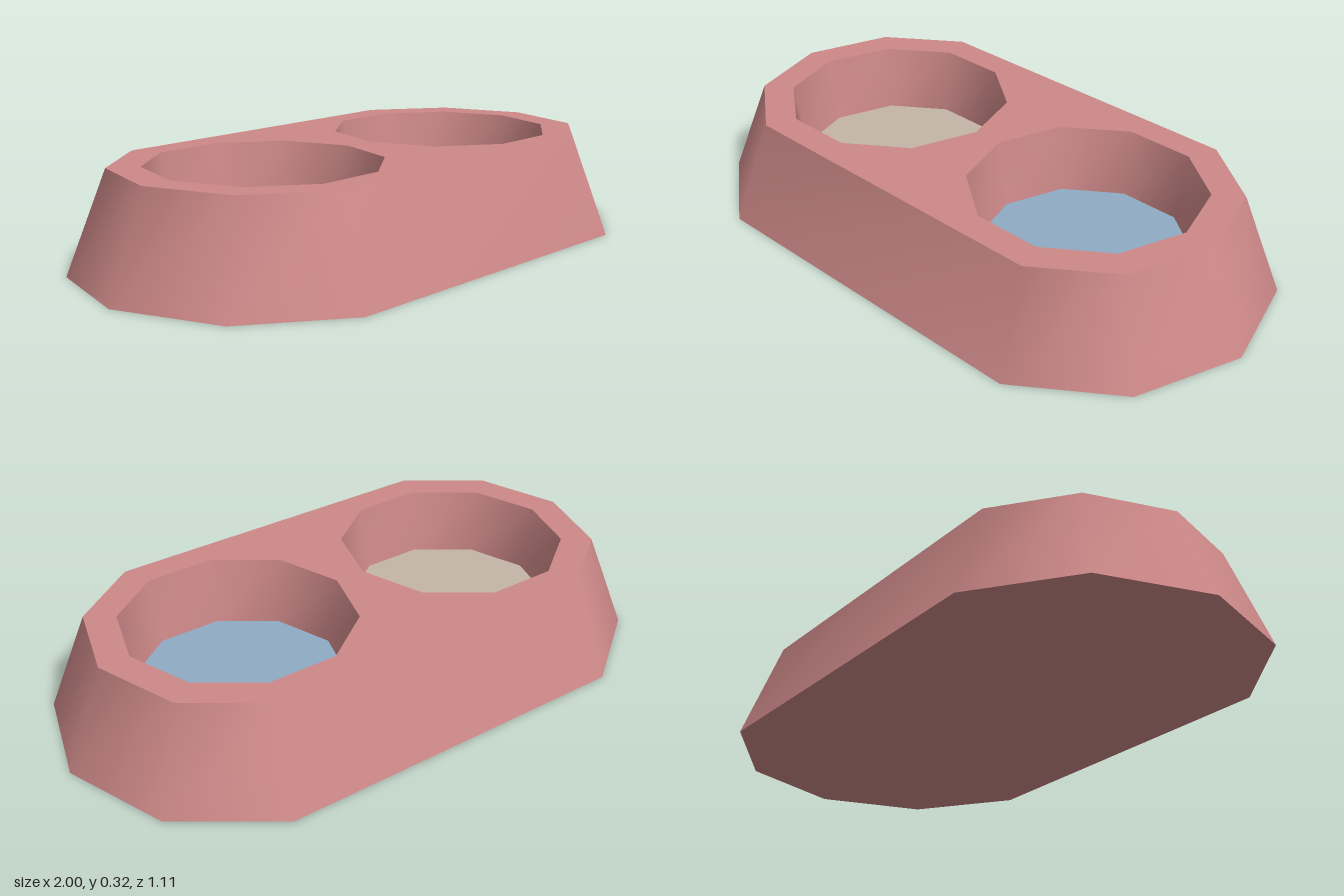
import * as THREE from 'three';

const HEIGHT = 0.317, FLOOR = 0.107, BOWL_X = 0.413;

// Mirror one quarter of the outline into a full ten-sided ring of [x, z]
function outline([ex, [mx, mz], [cx, cz]]) {
  return [[ex, 0], [mx, mz], [cx, cz], [-cx, cz], [-mx, mz],
    [-ex, 0], [-mx, -mz], [-cx, -cz], [cx, -cz], [mx, -mz]];
}

function decagon(x, r) {
  return Array.from({ length: 10 }, (_, i) => {
    const a = i * Math.PI / 5;
    return [x + r * Math.cos(a), r * Math.sin(a)];
  });
}

// Smooth wall between two rings; faces outward when y0 < y1, inward otherwise
function wall(ring0, y0, ring1, y1) {
  const pos = [], idx = [], n = ring0.length;
  for (const [x, z] of ring0) pos.push(x, y0, z);
  for (const [x, z] of ring1) pos.push(x, y1, z);
  for (let i = 0; i < n; i++) {
    const j = (i + 1) % n;
    idx.push(i, n + i, j, j, n + i, n + j);
  }
  const g = new THREE.BufferGeometry();
  g.setAttribute('position', new THREE.Float32BufferAttribute(pos, 3));
  g.setIndex(idx);
  g.computeVertexNormals();
  return g;
}

// Flat horizontal face, optionally with holes
function cap(ring, y, up = true, holes = []) {
  const toPoints = r => r.map(([x, z]) => new THREE.Vector2(x, up ? -z : z));
  const shape = new THREE.Shape(toPoints(ring));
  shape.holes = holes.map(h => new THREE.Path(toPoints(h)));
  return new THREE.ShapeGeometry(shape).rotateX(up ? -Math.PI / 2 : Math.PI / 2).translate(0, y, 0);
}

export function createModel() {
  const group = new THREE.Group();
  const material = (name, color) => {
    const m = new THREE.MeshStandardMaterial({ color });
    m.name = name;
    return m;
  };
  const pink = material('dusty pink', 0xcd8888);
  const beige = material('food beige', 0xc4b5a7);
  const blue = material('water blue', 0x8fabc4);
  const add = (name, geometry, mat) => {
    const mesh = new THREE.Mesh(geometry, mat);
    mesh.name = name;
    group.add(mesh);
  };

  // Tapered stand
  const base = outline([1, [0.89, 0.343], [0.595, 0.557]]);
  const top = outline([0.875, [0.788, 0.273], [0.56, 0.44]]);
  const rims = [-BOWL_X, BOWL_X].map(x => decagon(x, 0.363));
  add('standSides', wall(base, 0, top, HEIGHT), pink);
  add('standTop', cap(top, HEIGHT, true, rims), pink);
  add('standBottom', cap(base, 0, false), pink);

  // Two recessed bowls with their contents
  [['food', -BOWL_X, beige], ['water', BOWL_X, blue]].forEach(([name, x, mat], i) => {
    const floor = decagon(x, 0.327);
    add(name + 'BowlWall', wall(rims[i], HEIGHT, floor, FLOOR), pink);
    add(name + 'Surface', cap(floor, FLOOR), mat);
  });
  return group;
}
